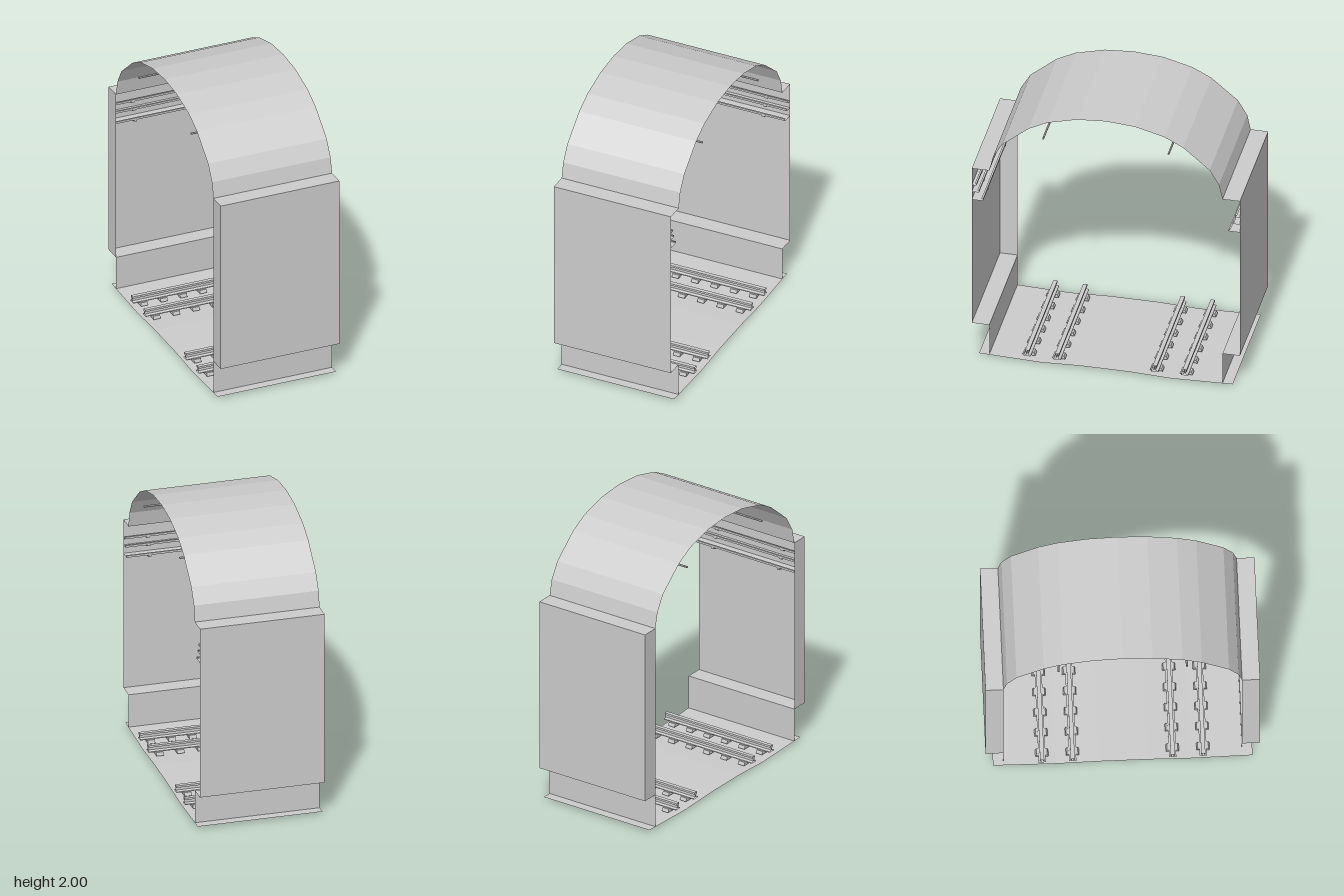
import * as THREE from 'three';

const HALF = 0.435; // half length of the tunnel segment along x
const material = new THREE.MeshStandardMaterial({
  color: 0xcccccc, flatShading: true, side: THREE.DoubleSide,
});

// Sweep a [z, y] polyline along x as an open, uncapped surface
function sweep(name, points) {
  const pos = [];
  for (let i = 0; i < points.length - 1; i++) {
    const [z0, y0] = points[i], [z1, y1] = points[i + 1];
    pos.push(-HALF, y0, z0, HALF, y0, z0, HALF, y1, z1);
    pos.push(-HALF, y0, z0, HALF, y1, z1, -HALF, y1, z1);
  }
  const g = new THREE.BufferGeometry();
  g.setAttribute('position', new THREE.Float32BufferAttribute(pos, 3));
  g.computeVertexNormals();
  return named(name, g);
}

function named(name, geometry) {
  const mesh = new THREE.Mesh(geometry, material);
  mesh.name = name;
  return mesh;
}

// Solid slab with a [z, y] outline, centred on x
function slab(name, outline, width, x) {
  const shape = new THREE.Shape(outline.map(([z, y]) => new THREE.Vector2(-z, y)));
  const g = new THREE.ExtrudeGeometry(shape, { depth: width, bevelEnabled: false });
  g.translate(0, 0, -width / 2).rotateY(Math.PI / 2);
  g.translate(x, 0, 0);
  return named(name, g);
}

// Mirror a half profile into a full one across z = 0
const mirrored = (half) => [...half, ...half.slice().reverse().map(([z, y]) => [-z, y])];

function rail(z) {
  const group = new THREE.Group();
  group.name = 'rail';
  const half = [[0.024, 0.038], [0.024, 0.044], [0.005, 0.05], [0.005, 0.066],
    [0.014, 0.07], [0.014, 0.084]];
  const loop = mirrored(half);
  loop.push(loop[0]);
  group.add(sweep('railBeam', loop.map(([dz, y]) => [z + dz, y])));
  // Fastening blocks under the rail
  for (let i = 0; i < 6; i++) {
    group.add(slab('railPad',
      [[z - 0.044, 0.015], [z + 0.044, 0.015], [z + 0.036, 0.038], [z - 0.036, 0.038]],
      0.05, -0.36 + i * 0.144));
  }
  return group;
}

function cableShelf(side, y, depth, drop) {
  const group = new THREE.Group();
  group.name = 'cableShelf';
  const wall = 0.92, tip = wall - depth;
  // Shallow tray with a raised front lip
  group.add(sweep('cableTray', [
    [side * wall, y], [side * tip, y], [side * tip, y + 0.014],
    [side * (tip + 0.012), y + 0.014],
  ]));
  for (const x of [-0.27, 0.27]) {
    group.add(slab('shelfBracket', [
      [side * wall, y], [side * tip, y], [side * tip, y - drop * 0.4], [side * wall, y - drop],
    ], 0.02, x));
  }
  return group;
}

export function createModel() {
  const model = new THREE.Group();
  model.name = 'tunnelSegment';

  // Faceted vault
  model.add(sweep('vault', mirrored([
    [0.8, 1.49], [0.776, 1.6], [0.712, 1.71], [0.53, 1.865], [0.4, 1.932], [0.2, 1.985], [0, 2],
  ])));

  // Floor with shallow valleys under both tracks
  model.add(sweep('floor', mirrored([[0.87, 0.014], [0.45, 0], [0.16, 0.012]])));

  for (const side of [1, -1]) {
    // Lower wall, ledge, recessed wall and soffit
    model.add(sweep('sideWall', [
      [side * 0.8, 0.012], [side * 0.8, 0.25], [side * 0.92, 0.25],
      [side * 0.92, 1.49], [side * 0.8, 1.49],
    ]));

    // Panel closing one end of the recess
    const cap = new THREE.PlaneGeometry(0.12, 1.24);
    cap.rotateY(-Math.PI / 2).translate(-HALF, 0.87, side * 0.86);
    model.add(named('recessEndPanel', cap));

    // Three cable shelves, deepest at the bottom
    for (const [y, depth, drop] of [[1.357, 0.033, 0.017], [1.303, 0.05, 0.022], [1.24, 0.077, 0.032]]) {
      model.add(cableShelf(side, y, depth, drop));
    }

    // Track with its overhead wire
    const track = new THREE.Group();
    track.name = 'track';
    track.add(rail(side * 0.54), rail(side * 0.335));
    model.add(track);

    const wire = new THREE.CylinderGeometry(0.007, 0.007, HALF * 2, 6, 1, true);
    wire.rotateZ(Math.PI / 2).translate(0, 1.8, side * 0.43);
    model.add(named('overheadWire', wire));
  }
  return model;
}
